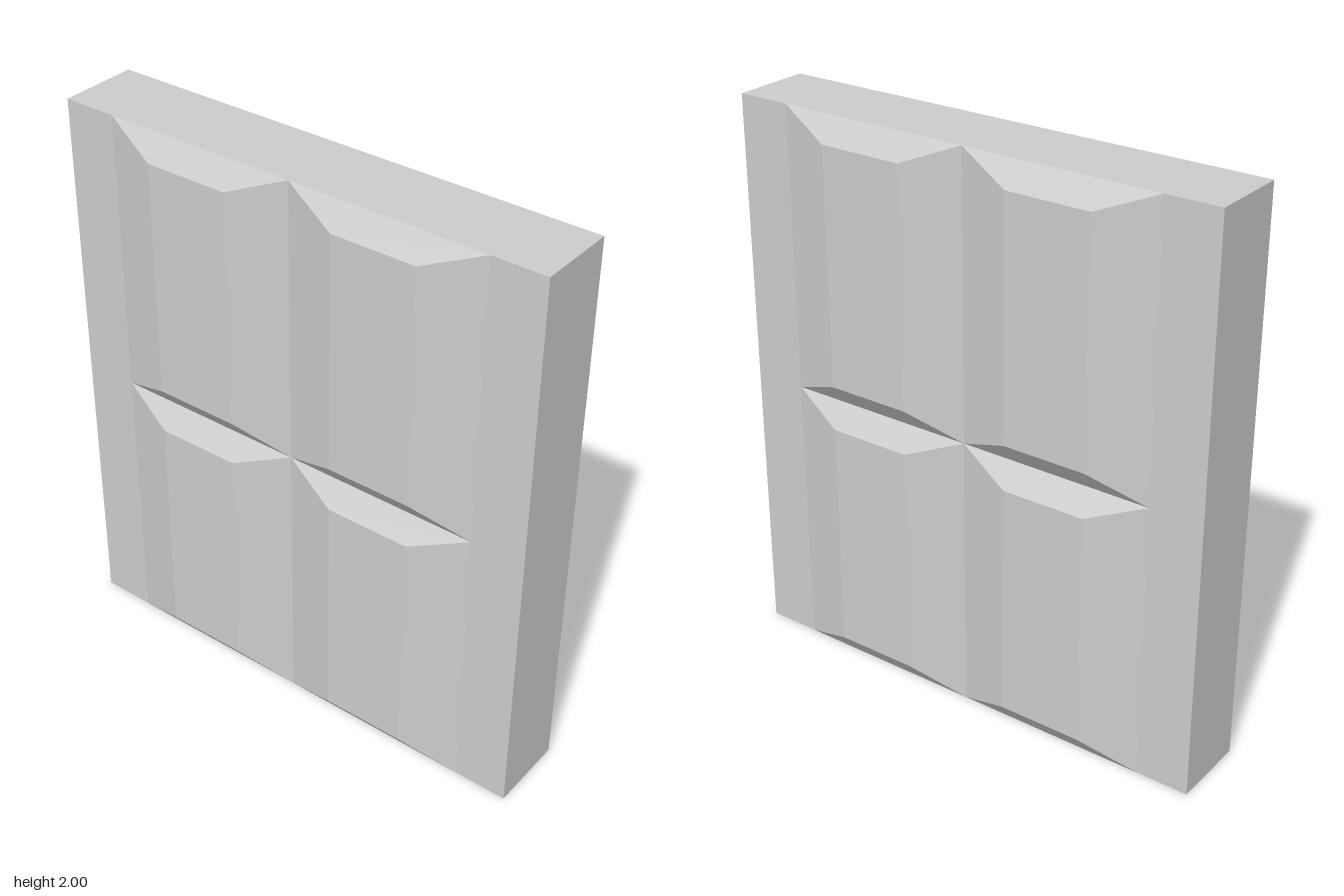
import * as THREE from 'three';

const W = 1.78, H = 2, D = 0.28; // slab
const PANEL_W = 0.7, PANEL_H = 1, RELIEF = 0.06; // raised panel
const INSET_X = 0.2, INSET_Y = 0.08; // bevel widths

// Box whose outer face is shrunk to make a bevelled panel, open at the back
function panelGeometry() {
  const g = new THREE.BoxGeometry(PANEL_W, PANEL_H, RELIEF);
  const p = g.attributes.position;
  for (let i = 0; i < p.count; i++) {
    if (p.getZ(i) > 0) {
      p.setX(i, p.getX(i) - Math.sign(p.getX(i)) * INSET_X);
      p.setY(i, p.getY(i) - Math.sign(p.getY(i)) * INSET_Y);
    }
  }
  // The back face is the last of the six; it lies against the slab
  g.setIndex(Array.from(g.index.array).slice(0, 30));
  g.clearGroups();
  g.translate(0, 0, RELIEF / 2);
  g.computeVertexNormals();
  return g;
}

export function createModel() {
  const model = new THREE.Group();
  model.name = 'panelledDoor';
  const material = new THREE.MeshStandardMaterial({ color: 0xcccccc, flatShading: true });

  // Flat door slab
  const slab = new THREE.Mesh(new THREE.BoxGeometry(W, H, D), material);
  slab.name = 'slab';
  slab.position.y = H / 2;
  model.add(slab);

  // Two by two raised panels on the front, repeated on the back
  const geometry = panelGeometry();
  for (const side of ['front', 'back']) {
    const face = new THREE.Group();
    face.name = side + 'Panels';
    if (side === 'back') face.rotation.y = Math.PI;
    for (const sx of [-1, 1]) {
      for (const row of [0, 1]) {
        const panel = new THREE.Mesh(geometry, material);
        panel.name = side + (row ? 'Upper' : 'Lower') + 'Panel';
        panel.position.set(sx * PANEL_W / 2, (row + 0.5) * PANEL_H, D / 2);
        face.add(panel);
      }
    }
    model.add(face);
  }
  return model;
}
